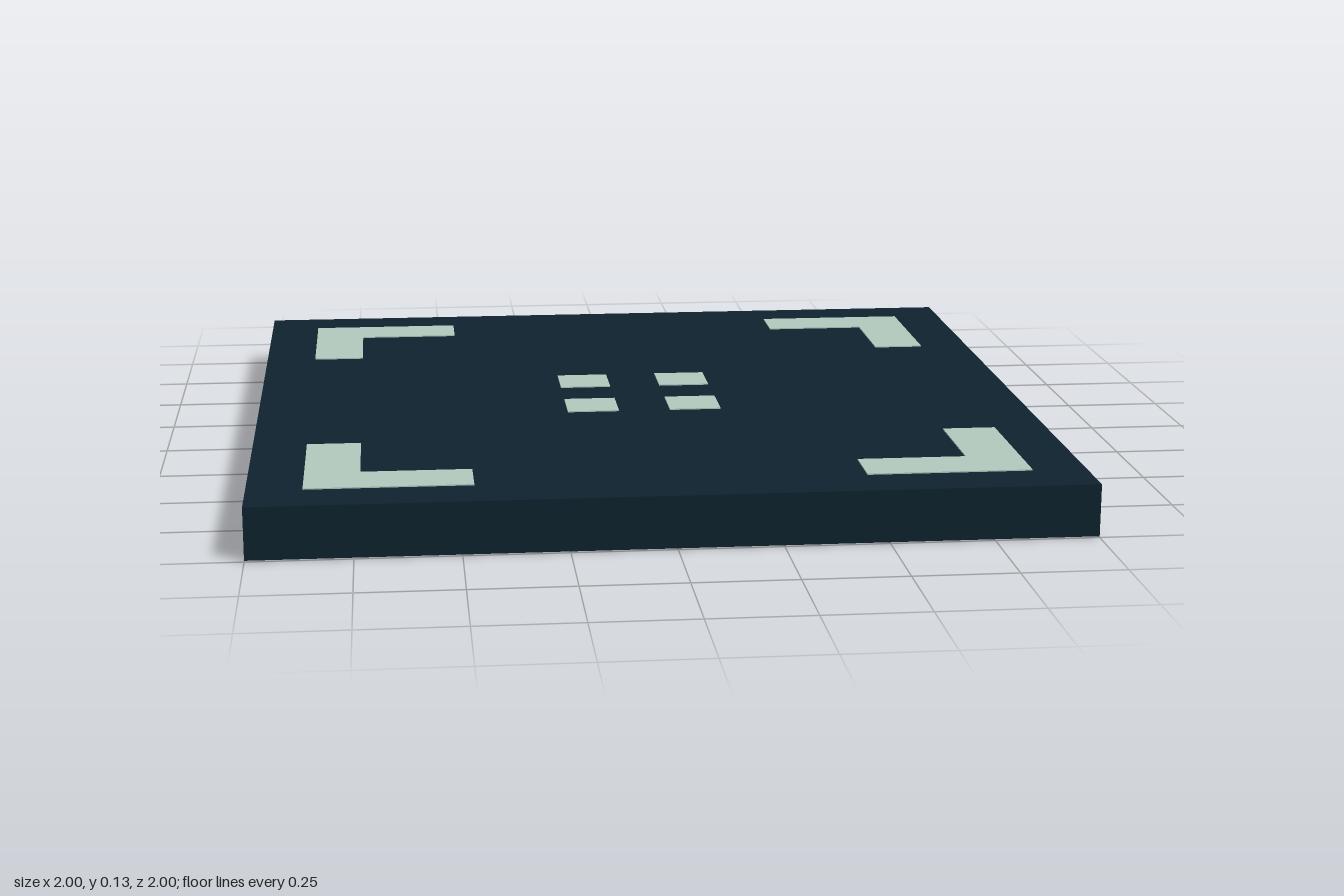
import * as THREE from 'three';

const U = 2 / 15;      // grid unit: the tile is 15 x 1 x 15 units
const T = 0.003;       // thickness of the inlaid plates

export function createModel() {
  const model = new THREE.Group();
  model.name = 'floorTile';
  const slabMaterial = new THREE.MeshStandardMaterial({ name: 'dark navy', color: 0x0e232e });
  const markMaterial = new THREE.MeshStandardMaterial({ name: 'pale sage', color: 0xb5cbc0 });

  // Slab
  const slab = new THREE.Mesh(new THREE.BoxGeometry(2, U - 2 * T, 2), slabMaterial);
  slab.name = 'slab';
  slab.position.y = U / 2;
  model.add(slab);

  const unitPlate = new THREE.BoxGeometry(U, T, U);
  const addSquare = (group, x, z) => {
    const square = new THREE.Mesh(unitPlate, markMaterial);
    square.name = 'square';
    square.position.set(x, 0, z);
    group.add(square);
  };

  // L-shaped corner bracket, three units long and one wide
  const a = 6.5 * U, b = 5.5 * U, c = 3.5 * U;
  const bracketShape = new THREE.Shape(
    [[a, a], [c, a], [c, b], [b, b], [b, c], [a, c]].map(([x, y]) => new THREE.Vector2(x, y))
  );
  const bracketGeometry = new THREE.ExtrudeGeometry(bracketShape, { depth: T, bevelEnabled: false });
  bracketGeometry.rotateX(Math.PI / 2).translate(0, T / 2, 0);

  // The same markings lie on the top and the underside
  for (const [side, y] of [['top', U - T / 2], ['bottom', T / 2]]) {
    const marks = new THREE.Group();
    marks.name = side + 'Markings';
    marks.position.y = y;
    for (let i = 0; i < 4; i++) {
      const bracket = new THREE.Mesh(bracketGeometry, markMaterial);
      bracket.name = 'cornerBracket';
      bracket.rotation.y = i * Math.PI / 2;
      marks.add(bracket);
    }
    for (const x of [-U, U]) for (const z of [-U, U]) addSquare(marks, x, z);
    model.add(marks);
  }

  // Stepped ring of upright squares on the underside
  const ring = new THREE.Group();
  ring.name = 'undersideRing';
  ring.position.y = T / 2;
  const count = 32, radius = 4.5 * U;
  for (let i = 0; i < count; i++) {
    const angle = (i / count) * Math.PI * 2;
    addSquare(ring, radius * Math.cos(angle), radius * Math.sin(angle));
  }
  model.add(ring);

  return model;
}
